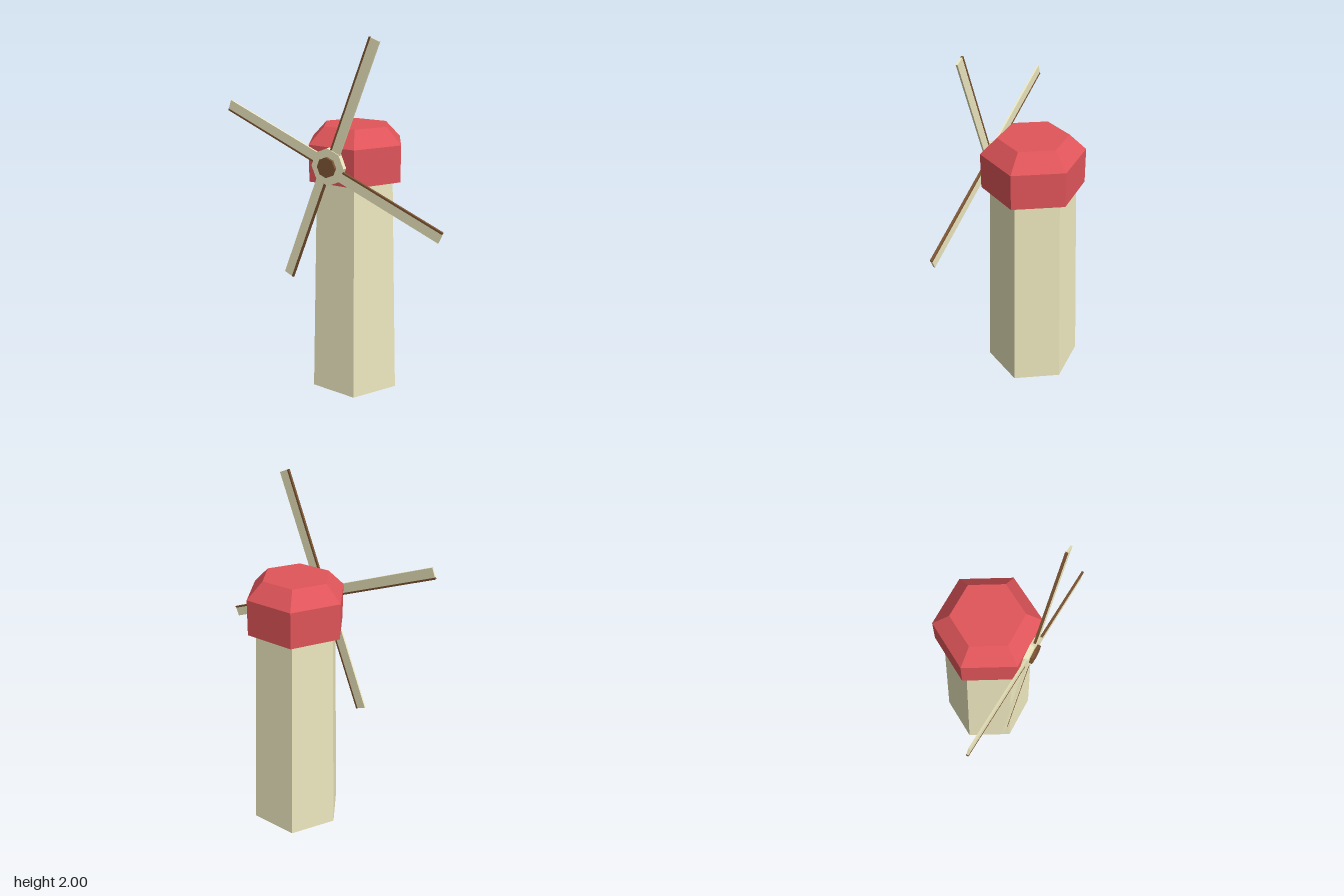
import * as THREE from 'three';

const paint = (color) => new THREE.MeshStandardMaterial({ color, flatShading: true });

export function createModel() {
  const cream = paint(0xeee8bf);
  const red = paint(0xe0555a);
  const brown = paint(0x7d5534);
  const model = new THREE.Group();
  model.name = 'windmill';

  function add(parent, name, geometry, material, x = 0, y = 0, z = 0) {
    const mesh = new THREE.Mesh(geometry, material);
    mesh.name = name;
    mesh.position.set(x, y, z);
    parent.add(mesh);
    return mesh;
  }

  // Six-sided tapered tower, corners on the x axis
  const towerHeight = 1.24;
  const tower = new THREE.CylinderGeometry(0.235, 0.274, towerHeight, 6, 1, false, Math.PI / 2);
  add(model, 'tower', tower, cream, 0.005, towerHeight / 2, -0.021);

  // Six-sided cap with a bevelled, flat top
  const profile = [[0, 1.23], [0.281, 1.23], [0.281, 1.43], [0.19, 1.52], [0, 1.52]];
  const cap = new THREE.LatheGeometry(profile.map(([r, y]) => new THREE.Vector2(r, y)), 6, Math.PI / 2);
  add(model, 'cap', cap, red, 0.006, 0, -0.022);

  // Rotor: octagonal hub, axle end and four sails
  const rotor = new THREE.Group();
  rotor.name = 'rotor';
  rotor.position.set(0, 1.33, 0);
  rotor.rotation.z = -0.379;
  model.add(rotor);

  const octagon = (radius, depth) =>
    new THREE.CylinderGeometry(radius, radius, depth, 8, 1, false, Math.PI / 8).rotateX(Math.PI / 2);
  add(rotor, 'hub', octagon(0.1, 0.03), cream, 0, 0, 0.233);
  add(rotor, 'axleEnd', octagon(0.055, 0.03), brown, 0, 0, 0.248);

  const inner = 0.085, outer = 0.708;
  const length = outer - inner, middle = (outer + inner) / 2;
  for (let i = 0; i < 4; i++) {
    const sail = new THREE.Group();
    sail.name = 'sail';
    sail.rotation.z = (i * Math.PI) / 2;
    rotor.add(sail);
    add(sail, 'sailSpar', new THREE.BoxGeometry(0.01, length, 0.013), brown, -0.015, middle, 0.238);
    add(sail, 'sailPanel', new THREE.BoxGeometry(0.052, length, 0.01), cream, 0.016, middle, 0.238);
  }

  return model;
}
